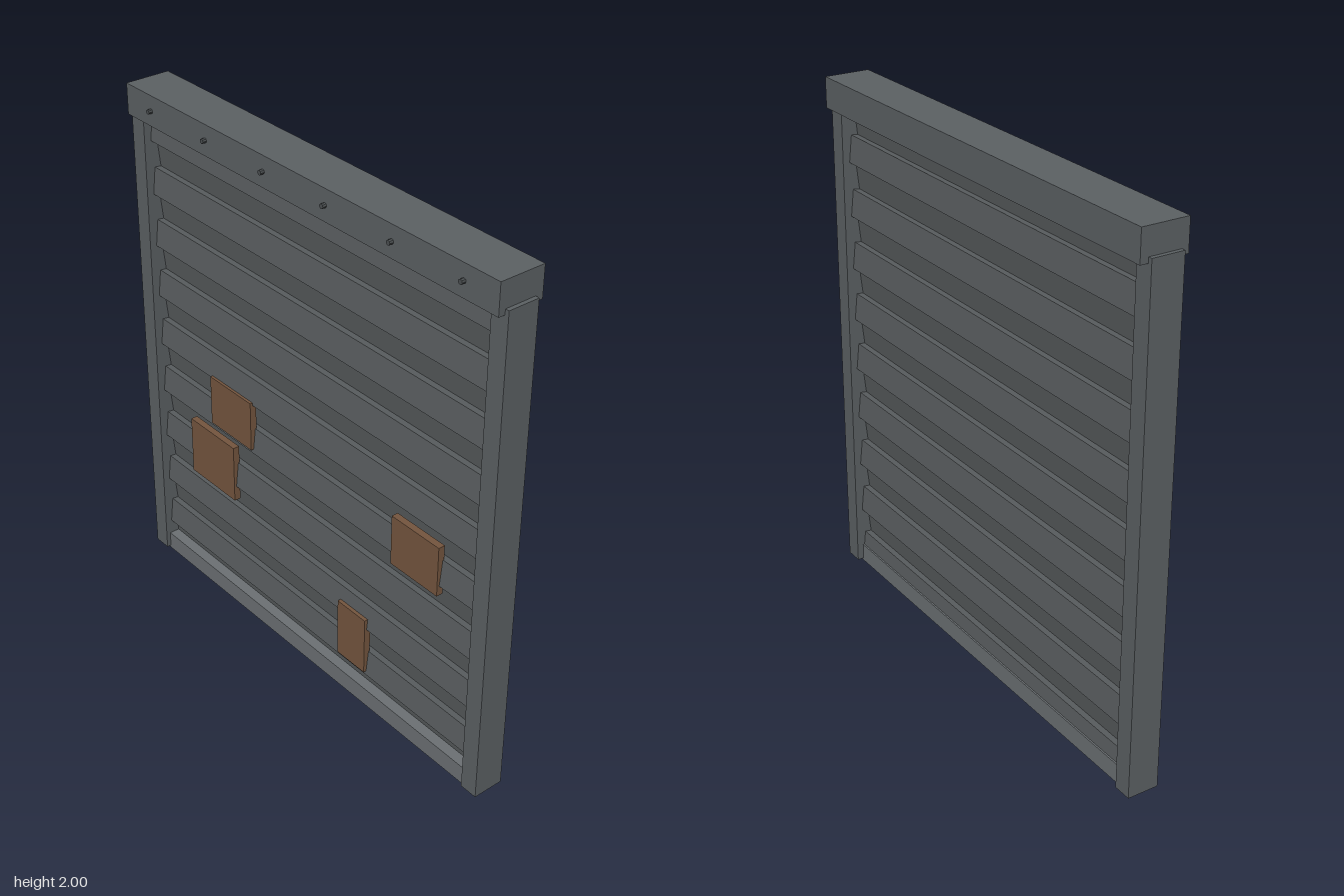
import * as THREE from 'three';

export function createModel() {
  const model = new THREE.Group();
  const paint = (color) => new THREE.MeshStandardMaterial({ color, flatShading: true });
  const steel = paint(0x5c6164);
  const slatSteel = paint(0x5a5e60);
  const barSteel = paint(0x6c7174);
  const rivetSteel = paint(0x4c5052);
  const rust = paint(0x75563f);

  // Box given by its lower and upper limits on each axis
  const box = (name, material, [x0, x1], [y0, y1], [z0, z1]) => {
    const mesh = new THREE.Mesh(new THREE.BoxGeometry(x1 - x0, y1 - y0, z1 - z0), material);
    mesh.position.set((x0 + x1) / 2, (y0 + y1) / 2, (z0 + z1) / 2);
    mesh.name = name;
    model.add(mesh);
    return mesh;
  };

  // Header housing and side guide rails
  box('headerBox', steel, [-0.928, 0.928], [1.885, 2], [-0.095, 0.08]);
  box('leftGuideRail', steel, [0.873, 0.943], [0.01, 1.905], [-0.065, 0.055]);
  box('rightGuideRail', steel, [-0.943, -0.873], [0.01, 1.905], [-0.065, 0.055]);

  // Curtain of slats, alternately set forward facing up and set back facing down
  const pitch = 0.1035;
  for (let k = -1; k <= 16; k++) {
    const side = k % 2 === 0 ? 1 : -1;
    const y = 0.13 + k * pitch;
    const z = -0.005 + side * 0.013;
    const slat = box('slat', slatSteel, [-0.9, 0.9], [y, y + pitch], [z - 0.015, z + 0.015]);
    slat.rotation.x = -side * 0.11;
  }

  // Bottom bar
  box('bottomBar', barSteel, [-0.905, 0.905], [0, 0.073], [-0.04, 0.038]);

  // Rust patches: x limits, y limits
  const patches = [
    [[-0.55, -0.31], [0.77, 0.97]],
    [[-0.685, -0.42], [0.485, 0.72]],
    [[0.46, 0.69], [0.715, 0.912]],
    [[0.187, 0.335], [0.147, 0.383]],
  ];
  for (const [x, y] of patches) box('rustPatch', rust, x, y, [0.012, 0.038]);

  // Row of rivets along the header front
  const rivetShape = new THREE.CylinderGeometry(0.009, 0.009, 0.025, 8).rotateX(Math.PI / 2);
  for (let i = 0; i < 6; i++) {
    const rivet = new THREE.Mesh(rivetShape, rivetSteel);
    rivet.name = 'rivet';
    rivet.position.set(-0.783 + i * 0.313, 1.943, 0.0825);
    model.add(rivet);
  }
  return model;
}
